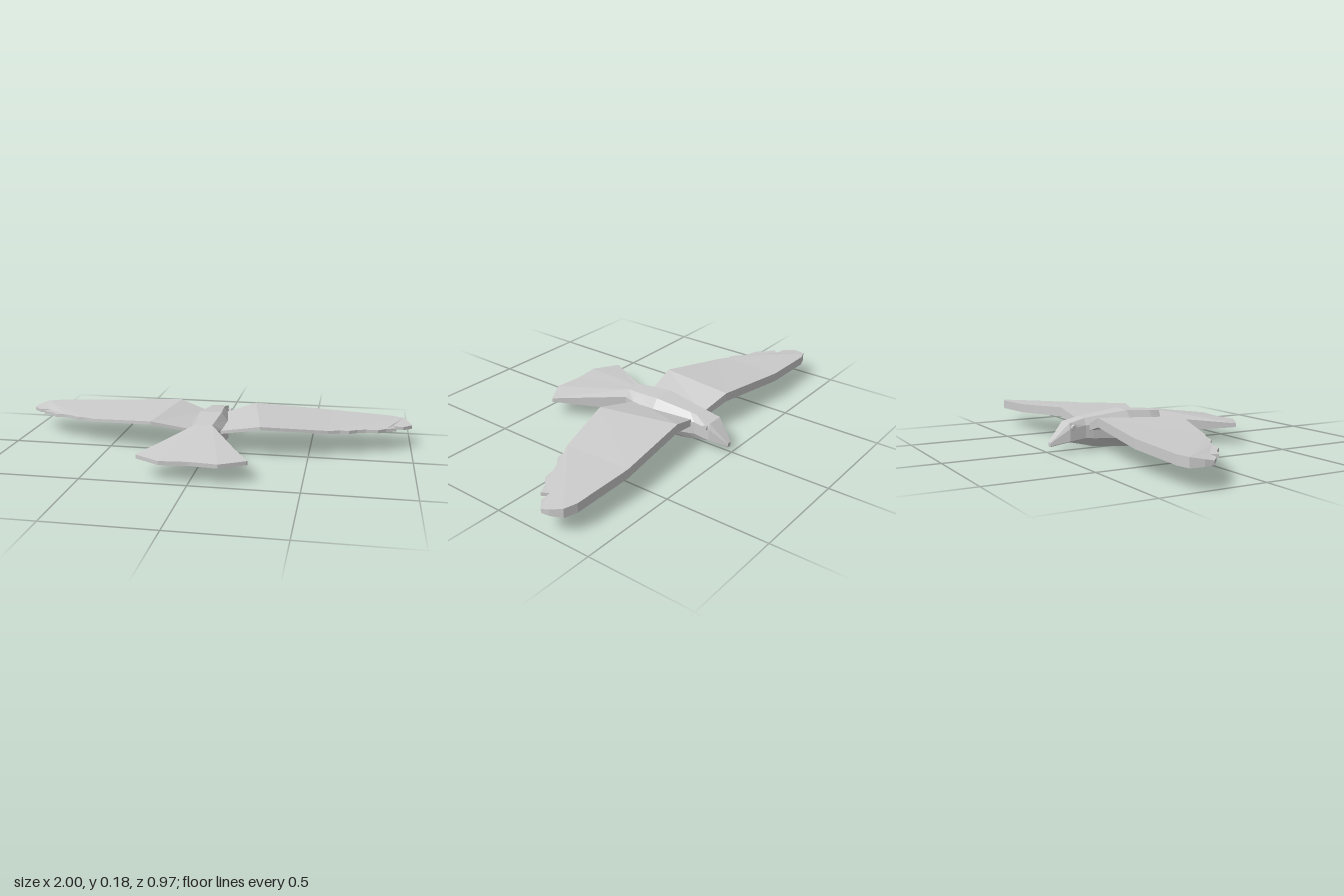
import * as THREE from 'three';

const material = new THREE.MeshStandardMaterial({ color: 0xcccccc, flatShading: true });

// Skin a row of counter-clockwise cross-sections (ordered along +z), with strip caps.
function loft(sections) {
  const pos = [];
  const quad = (a, b, c, d) => pos.push(...a, ...b, ...c, ...a, ...c, ...d);
  const n = sections[0].length;
  for (let i = 0; i < sections.length - 1; i++) {
    const s = sections[i], t = sections[i + 1];
    for (let j = 0; j < n; j++) {
      const k = (j + 1) % n;
      quad(s[j], s[k], t[k], t[j]);
    }
  }
  const first = sections[0], last = sections[sections.length - 1];
  for (let j = 0; j < n / 2 - 1; j++) {
    quad(last[j], last[j + 1], last[n - 2 - j], last[n - 1 - j]);
    quad(first[n - 1 - j], first[n - 2 - j], first[j + 1], first[j]);
  }
  const g = new THREE.BufferGeometry();
  g.setAttribute('position', new THREE.Float32BufferAttribute(pos, 3));
  g.computeVertexNormals();
  return g;
}

// Eight-sided body section, symmetric about x = 0.
function bodySection([z, top, mid, bot, yTop, yMid, yLow, yBot]) {
  const right = [[bot, yBot, z], [mid, yLow, z], [mid, yMid, z], [top, yTop, z]];
  return [...right, ...right.map(([x, y]) => [-x, y, z]).reverse()];
}

// Piecewise-linear height of the wing's middle surface along the span.
const spanHeights = [[0.04, 0.108], [0.235, 0.154], [0.6, 0.125], [1, 0.106]];
function wingHeight(x) {
  for (let i = 1; i < spanHeights.length; i++) {
    const [x0, y0] = spanHeights[i - 1], [x1, y1] = spanHeights[i];
    if (x <= x1 || i === spanHeights.length - 1) return y0 + (y1 - y0) * (x - x0) / (x1 - x0);
  }
}

// Wing panel from an (x, z) outline: thick at the leading edge, thin behind.
function wingPanel(outline, side) {
  const shape = new THREE.Shape(outline.map(([x, z]) => new THREE.Vector2(side * x, -z)));
  const g = new THREE.ExtrudeGeometry(shape, { depth: 1, bevelEnabled: false });
  g.rotateX(-Math.PI / 2);
  const p = g.attributes.position;
  for (let i = 0; i < p.count; i++) {
    const lead = THREE.MathUtils.clamp((-0.25 - p.getZ(i)) / 0.08, 0, 1);
    const half = 0.008 + 0.014 * lead;
    // The panel seam runs slightly oblique, so the crest follows it.
    const x = Math.abs(p.getX(i));
    const crest = Math.abs(x - 0.235) < 0.05 ? 0.235 : x;
    p.setY(i, wingHeight(crest) + (p.getY(i) > 0.5 ? half : -half));
  }
  g.computeVertexNormals();
  return g;
}

const wingPanels = [
  ['innerWing', [[0.04, -0.3], [0.2, -0.33], [0.27, 0.075], [0.04, 0.035]]],
  ['middleWing', [[0.2, -0.33], [0.6, -0.37], [0.59, -0.015], [0.27, 0.075]]],
  ['wingTip', [[0.6, -0.37], [0.9, -0.36], [0.96, -0.34], [0.99, -0.29], [1, -0.255],
    [0.955, -0.212], [0.9, -0.208], [0.92, -0.175], [0.87, -0.15], [0.83, -0.112],
    [0.77, -0.102], [0.73, -0.083], [0.69, -0.05], [0.65, -0.045], [0.59, -0.015]]],
];

export function createModel() {
  const model = new THREE.Group();
  model.name = 'bird';
  const add = (name, geometry, parent = model) => {
    const mesh = new THREE.Mesh(geometry, material);
    mesh.name = name;
    parent.add(mesh);
    return mesh;
  };

  // Body: z, half-widths (top, middle, bottom), heights (top, upper, lower, bottom)
  const body = [
    [-0.4, 0.042, 0.05, 0.04, 0.135, 0.108, 0.05, 0.045],
    [-0.32, 0.036, 0.053, 0.036, 0.153, 0.12, 0.06, 0.026],
    [-0.285, 0.037, 0.062, 0.038, 0.157, 0.123, 0.057, 0.017],
    [-0.1, 0.055, 0.09, 0.05, 0.178, 0.128, 0.045, 0],
    [0.03, 0.046, 0.076, 0.045, 0.168, 0.128, 0.05, 0.012],
    [0.09, 0.04, 0.058, 0.04, 0.163, 0.128, 0.053, 0.018],
  ];
  add('body', loft(body.map(bodySection)));

  // Beak, tapering down and forward
  const beakTip = [-0.485, 0.011, 0.012, 0.011, 0.045, 0.04, 0.028, 0.025];
  add('beak', loft([beakTip, body[0]].map(bodySection)));

  // Tail fan: the same seven columns at the root and along the spread rear edge
  const rootX = [-0.058, -0.04, -0.02, 0, 0.02, 0.04, 0.058];
  const fanX = [-0.257, -0.25, -0.135, 0, 0.135, 0.25, 0.257];
  const fanZ = [0.405, 0.412, 0.48, 0.467, 0.48, 0.412, 0.405];
  const tailRoot = [
    ...rootX.map((x) => [x, 0.053, 0.09]),
    ...rootX.map((x, i) => [x, i % 6 ? 0.163 : 0.128, 0.09]).reverse(),
  ];
  const tailEnd = [
    ...fanX.map((x, i) => [x, 0.081, fanZ[i]]),
    ...fanX.map((x, i) => [x, 0.1, fanZ[i]]).reverse(),
  ];
  add('tail', loft([tailRoot, tailEnd]));

  for (const side of [1, -1]) {
    // Wing with ragged trailing feathers
    const wing = new THREE.Group();
    wing.name = side > 0 ? 'leftWing' : 'rightWing';
    model.add(wing);
    for (const [name, outline] of wingPanels) add(name, wingPanel(outline, side), wing);

    // Eye
    const eye = add(side > 0 ? 'leftEye' : 'rightEye',
      new THREE.CylinderGeometry(0.012, 0.015, 0.016, 8).rotateZ(-side * Math.PI / 2));
    eye.position.set(side * 0.052, 0.114, -0.382);
  }
  return model;
}
